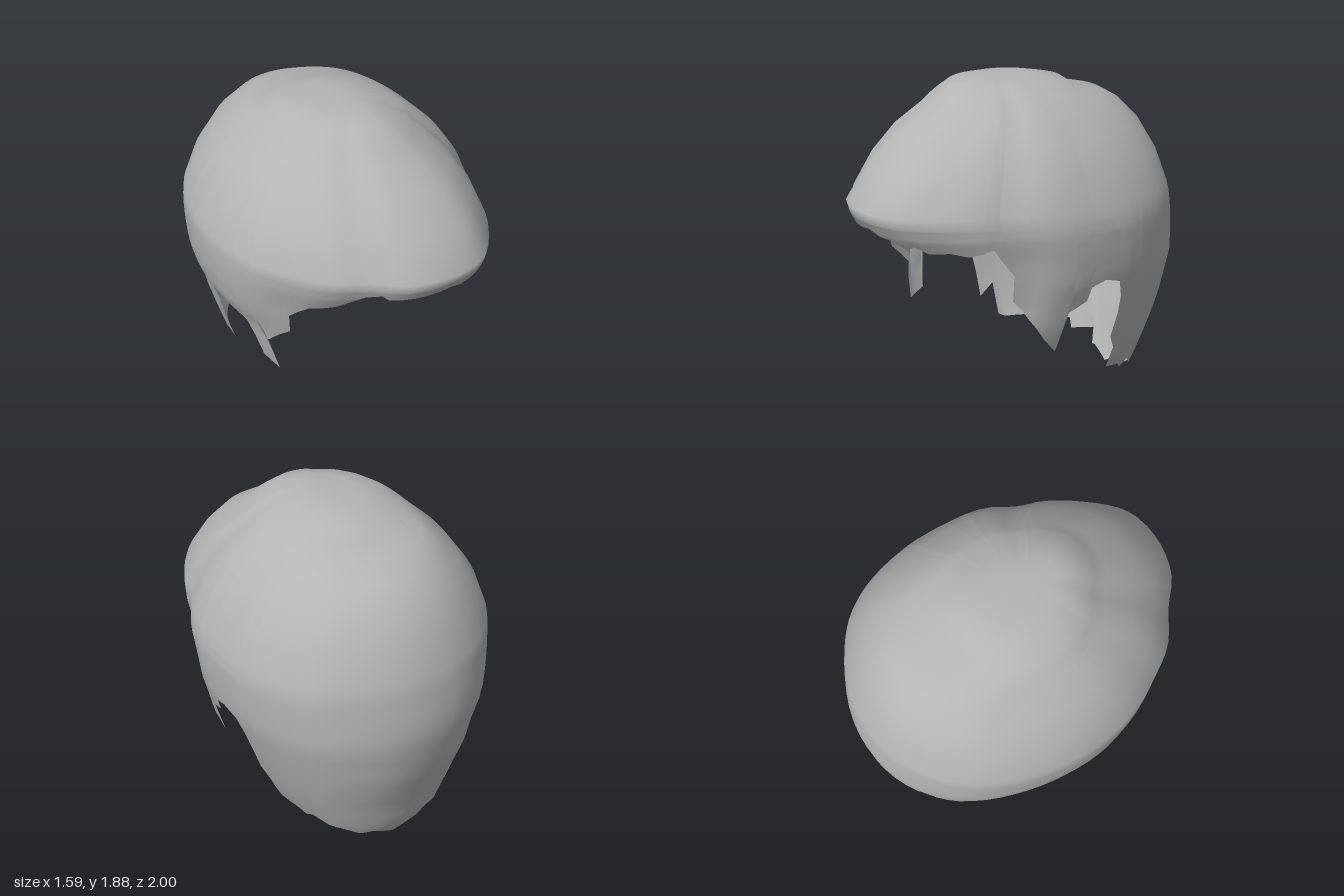
import * as THREE from 'three';
import { mergeVertices } from 'three/addons/utils/BufferGeometryUtils.js';

// Cross-sections from crown to nape: height, then reach to +x, -x, front, back
const sections = [
  [1.885, 0, 0, 0, 0],
  [1.88, 0.12, 0.18, 0.25, 0.19],
  [1.855, 0.24, 0.3, 0.36, 0.33],
  [1.795, 0.36, 0.39, 0.44, 0.42],
  [1.77, 0.4, 0.42, 0.47, 0.59],
  [1.71, 0.475, 0.48, 0.54, 0.71],
  [1.6, 0.59, 0.6, 0.71, 0.82],
  [1.44, 0.7, 0.72, 0.865, 0.905],
  [1.26, 0.77, 0.79, 1.0, 0.965],
  [1.2, 0.785, 0.795, 0.98, 0.977],
  [1.13, 0.795, 0.795, 0.94, 0.985],
  [1.0, 0.79, 0.785, 0.83, 1.0],
  [0.86, 0.775, 0.755, 0.79, 1.0],
  [0.72, 0.735, 0.69, 0.82, 0.965],
  [0.56, 0.685, 0.65, 0.98, 0.935],
  [0.3, 0.595, 0.57, 1.05, 0.835],
  [0.14, 0.51, 0.48, 1.05, 0.8],
  [0, 0.42, 0.42, 1.05, 0.73],
];

// Uneven fullness of the outline: angle from the front towards +x, then factor
const fullness = [
  [0, 1], [20, 1.025], [36, 0.99], [51, 0.965], [61, 0.935], [74, 0.985], [90, 1],
  [108, 1.04], [130, 1.06], [150, 1.02], [180, 1], [211, 1.01], [230, 1.02], [245, 1.01],
  [270, 1], [288, 0.985], [302, 0.955], [315, 0.95], [332, 0.92], [345, 0.97], [360, 1],
];
const fullnessCurve = new THREE.CubicInterpolant(
  fullness.map(([a]) => a), fullness.map(([, f]) => f), 1, new Float32Array(1));

// Ragged hem: angle in degrees from the front towards +x, then height
const hem = [
  [0, 1.15], [5, 1.16], [10, 1.13], [16, 1.12], [20, 1.07], [24, 1.1], [28, 1.06],
  [36, 1.07], [42, 1.05], [48, 1.07], [52, 1.09], [53, 1.03], [57, 0.93], [57.5, 0.78],
  [71, 0.62], [81.5, 0.45], [82, 0.69], [85, 0.71], [89, 0.74],
  [90, 0.82], [95, 0.85], [101, 0.82], [103.5, 0.72], [104.5, 0.6], [105, 0.45],
  [109, 0.36], [110, 0.22], [118, 0.2], [121, 0.16], [125, 0.2], [131, 0.14],
  [138, 0.12], [146, 0.06], [153, 0.08], [170, 0], [187, 0.06], [190, 0.06],
  [193, 0.15], [210, 0.12], [211, 0.18], [230, 0.2], [244, 0.21], [247, 0.23],
  [248, 0.42], [254, 0.35], [255, 0.5], [257, 0.7], [259, 0.79], [265, 0.83],
  [270, 0.78], [275, 0.77], [279, 0.72], [280, 0.49], [286.5, 0.45], [287, 0.66],
  [295, 0.74], [302, 0.8], [304, 0.93], [312, 1.03], [322, 1.06], [331, 1.15],
  [337, 1.17], [340, 1.14], [350, 1.14], [360, 1.15],
];

const lerp = THREE.MathUtils.lerp;

// Position along the list of sections for a given height
function stepAt(y) {
  let i = 0;
  while (i < sections.length - 2 && sections[i + 1][0] > y) i++;
  return i + (sections[i][0] - y) / (sections[i][0] - sections[i + 1][0]);
}

function pointAt(step, degrees) {
  const i = Math.min(Math.floor(step), sections.length - 2);
  const [y, left, right, front, back] = sections[i].map((v, k) => lerp(v, sections[i + 1][k], step - i));
  const a = THREE.MathUtils.degToRad(degrees % 360);
  const s = Math.sin(a), c = Math.cos(a);
  // The lower part is squarer at the back corners
  const corner = c < 0 ? 0.08 * Math.max(0, 1 - y) * Math.sin(2 * a) ** 2 : 0;
  const f = fullnessCurve.evaluate(degrees)[0] + corner;
  return [f * s * (s > 0 ? left : right), y, f * c * (c > 0 ? front : back)];
}

export function createModel() {
  // Columns follow every hem corner, with extra ones in wide gaps
  const columns = [hem[0]];
  for (let i = 1; i < hem.length; i++) {
    const [a0, y0] = hem[i - 1], [a1, y1] = hem[i];
    const n = Math.ceil((a1 - a0) / 6);
    for (let k = 1; k <= n; k++) columns.push([lerp(a0, a1, k / n), lerp(y0, y1, k / n)]);
  }

  // Open shell: level rows over the cap, then rows that fan out down to the hem
  const capRows = 9, lowerRows = 12, rows = capRows + lowerRows;
  const positions = [], index = [];
  columns.forEach(([angle, y], j) => {
    const end = stepAt(y);
    for (let i = 0; i <= rows; i++) {
      const step = i <= capRows ? i : lerp(capRows, end, (i - capRows) / lowerRows);
      positions.push(...pointAt(step, angle));
      if (j === 0 || i === 0) continue;
      const d = j * (rows + 1) + i - 1, a = d - rows - 1;
      if (i > 1) index.push(a, a + 1, d);
      index.push(a + 1, d + 1, d);
    }
  });
  let geometry = new THREE.BufferGeometry();
  geometry.setAttribute('position', new THREE.Float32BufferAttribute(positions, 3));
  geometry.setIndex(index);
  geometry = mergeVertices(geometry, 1e-5);
  geometry.computeVertexNormals();

  const grey = new THREE.MeshStandardMaterial({ color: 0xb4b4b4, side: THREE.DoubleSide });
  grey.name = 'hairGrey';
  const hair = new THREE.Mesh(geometry, grey);
  hair.name = 'hair';
  const group = new THREE.Group();
  group.name = 'hairpiece';
  group.add(hair);
  return group;
}
